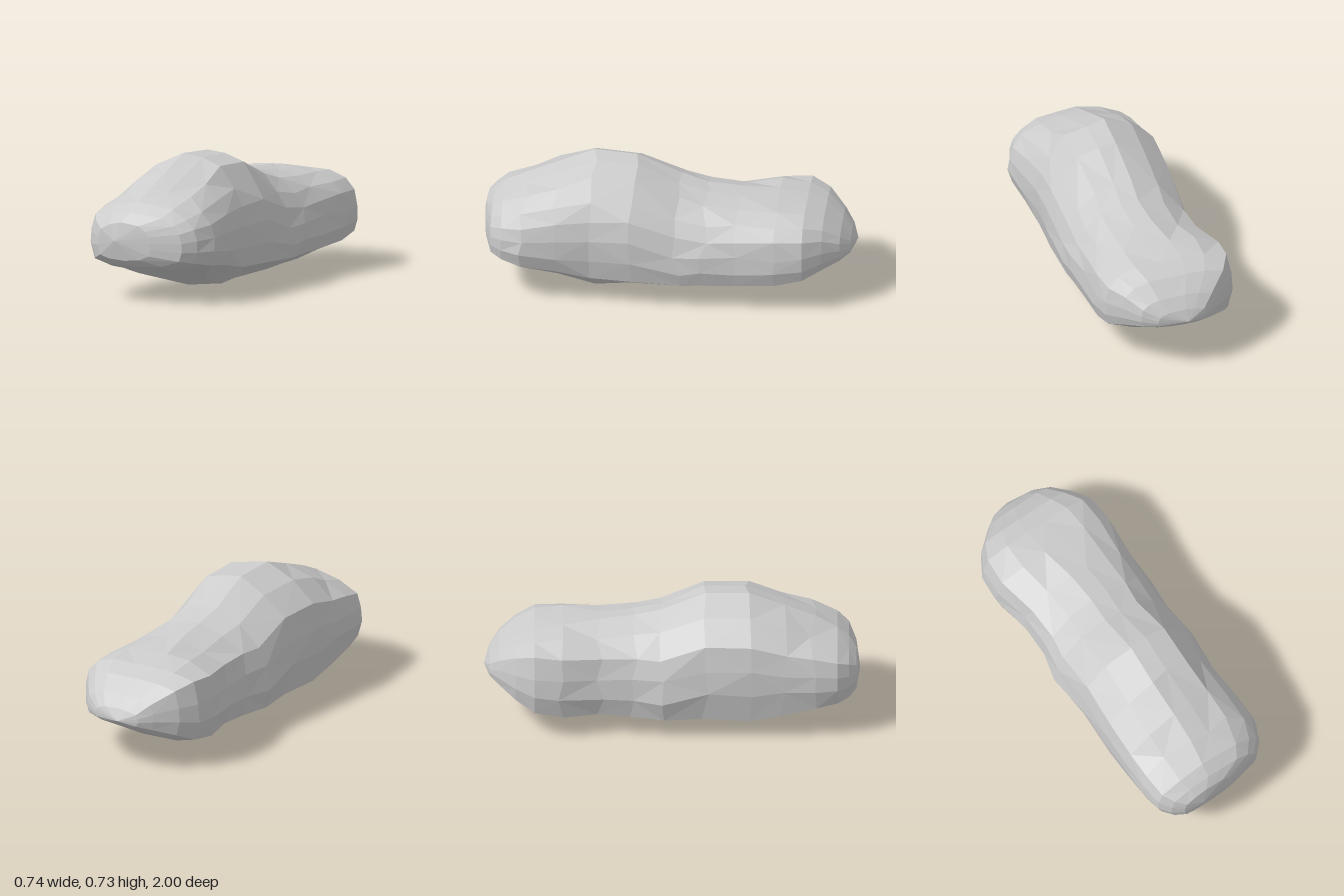
import * as THREE from 'three';

// Cross-section outlines, clockwise from the crest: u across (-1..1), v up (0..1)
const ROUND = [
  [-0.1, 1], [0.2, 0.97], [0.55, 0.92], [0.8, 0.77], [0.94, 0.64], [1, 0.49],
  [1, 0.33], [0.94, 0.16], [0.55, 0.04], [0, 0], [-0.59, 0.03], [-0.92, 0.12],
  [-1, 0.36], [-0.98, 0.55], [-0.91, 0.73], [-0.56, 0.9],
];
const BOXY = [
  [-0.2, 1], [0.12, 0.99], [0.52, 0.98], [0.8, 0.89], [0.95, 0.74], [1, 0.52],
  [1, 0.33], [0.95, 0.18], [0.55, 0.05], [0, 0], [-0.6, 0.02], [-0.93, 0.1],
  [-1, 0.36], [-0.98, 0.62], [-0.9, 0.93], [-0.55, 0.99],
];
const n = ROUND.length;

// Sections from front to back:
// z, left x, right x, bottom, top, boxiness, pinch of the upper flanks, rise of the lower edges
const SECTIONS = [
  [0.98, -0.24, 0.08, 0.225, 0.43, 0.3, 0, 0],
  [0.94, -0.30, 0.25, 0.19, 0.48, 0.3, 0, 0],
  [0.88, -0.345, 0.31, 0.165, 0.53, 0.2, 0, 0],
  [0.76, -0.365, 0.355, 0.13, 0.59, 0.1, 0, 0],
  [0.60, -0.365, 0.345, 0.08, 0.655, 0, 0, 0],
  [0.41, -0.365, 0.33, 0.025, 0.73, 0, 0, 0],
  [0.18, -0.355, 0.355, 0.035, 0.72, 0, 0.06, 0.01],
  [-0.06, -0.37, 0.36, 0, 0.62, 0, 0.14, 0.07],
  [-0.20, -0.335, 0.36, 0.04, 0.58, 0.1, 0.08, 0.02],
  [-0.38, -0.335, 0.355, 0.06, 0.56, 0.25, 0.05, 0.01],
  [-0.58, -0.37, 0.365, 0.075, 0.54, 0.65, 0, 0],
  [-0.73, -0.365, 0.355, 0.12, 0.515, 1, 0, 0],
  [-0.83, -0.305, 0.29, 0.175, 0.475, 1, 0, 0],
  [-0.92, -0.2, 0.22, 0.225, 0.405, 0.8, 0, 0],
  [-0.97, -0.13, 0.14, 0.255, 0.345, 0.5, 0, 0],
];

// Small seeded generator, range -1..1
function makeRandom(seed) {
  return () => {
    seed = (seed * 16807) % 2147483647;
    return (seed / 2147483647) * 2 - 1;
  };
}

function boulderGeometry() {
  const random = makeRandom(421);
  const positions = [];
  const index = [];
  const { lerp } = THREE.MathUtils;

  SECTIONS.forEach(([z, left, right, bottom, top, box, pinch, rise], i) => {
    const mid = (left + right) / 2, half = (right - left) / 2;
    const inner = i > 2 && i < SECTIONS.length - 4;
    for (let j = 0; j < n; j++) {
      const u = lerp(ROUND[j][0], BOXY[j][0], box);
      const v = lerp(ROUND[j][1], BOXY[j][1], box);
      const narrow = 1 - pinch * Math.max(0, (v - 0.3) / 0.7);
      const lift = v > 0 && v < 0.2 ? rise : 0;
      // uneven facets, except on crest, base and ends
      const loose = inner && v > 0.01 && v < 0.98 ? 0.025 : 0;
      positions.push(
        mid + u * half * narrow * (1 + random() * loose * 0.4),
        bottom + (v + lift) * (top - bottom) + random() * loose * 0.4,
        z + random() * loose,
      );
    }
  });

  // Flank facets, with the splitting diagonal alternating
  for (let i = 0; i < SECTIONS.length - 1; i++) {
    for (let j = 0; j < n; j++) {
      const a = i * n + j, b = i * n + (j + 1) % n, c = a + n, d = b + n;
      if ((i + j) % 2) index.push(a, b, c, b, d, c);
      else index.push(a, b, d, a, d, c);
    }
  }

  // Blunt front and back tips
  const front = positions.length / 3, back = front + 1;
  const last = (SECTIONS.length - 1) * n;
  positions.push(-0.13, 0.33, 1, -0.02, 0.285, -1);
  for (let j = 0; j < n; j++) {
    const k = (j + 1) % n;
    index.push(front, k, j, back, last + j, last + k);
  }

  const geometry = new THREE.BufferGeometry();
  geometry.setAttribute('position', new THREE.Float32BufferAttribute(positions, 3));
  geometry.setIndex(index);
  const faceted = geometry.toNonIndexed();
  faceted.computeVertexNormals();
  return faceted;
}

export function createModel() {
  const group = new THREE.Group();
  group.name = 'rock';
  const material = new THREE.MeshStandardMaterial({ color: 0xcccccc, flatShading: true });
  const boulder = new THREE.Mesh(boulderGeometry(), material);
  boulder.name = 'boulder';
  group.add(boulder);
  return group;
}
